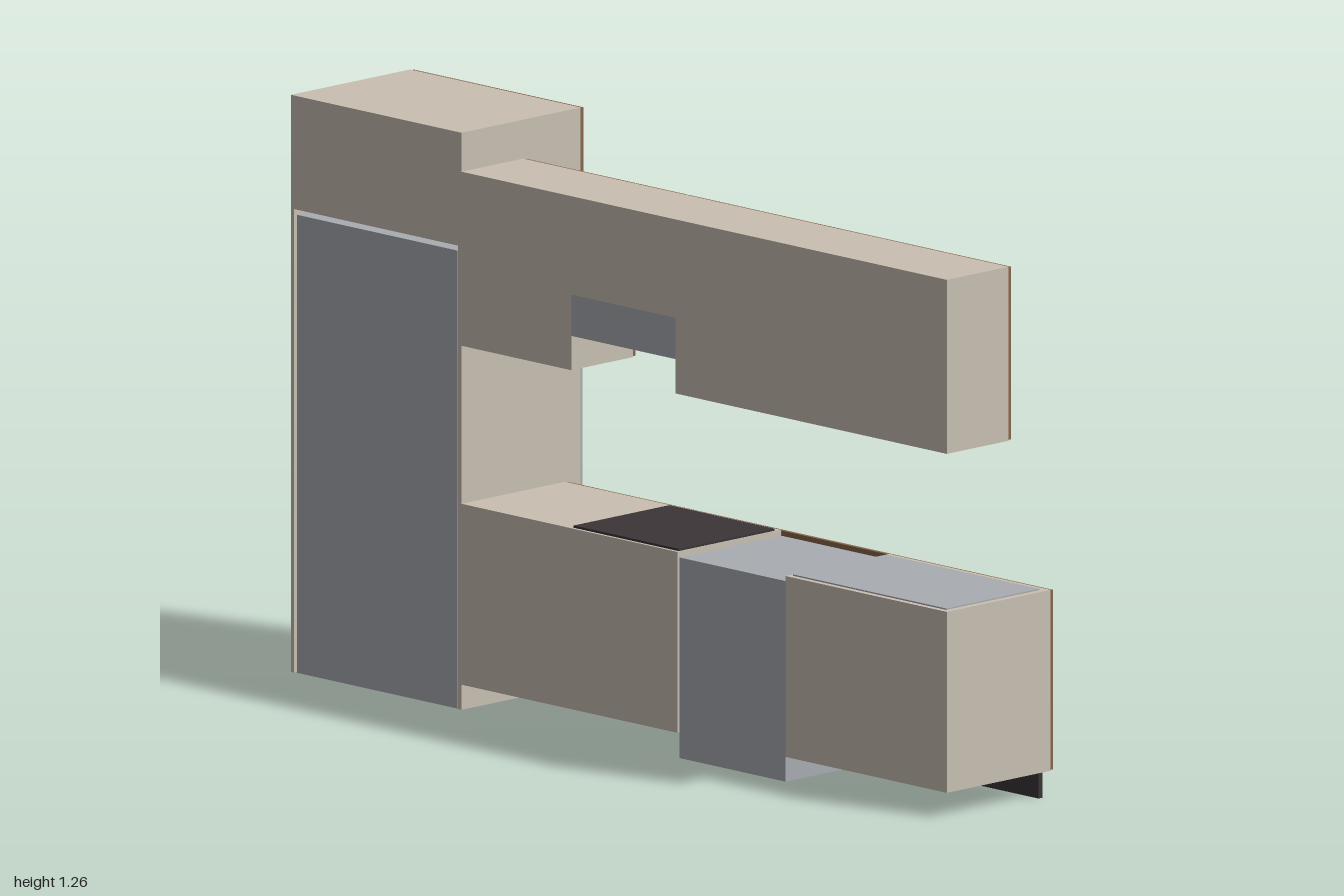
import * as THREE from 'three';

export function createModel() {
  const kitchen = new THREE.Group();
  kitchen.name = 'kitchen';

  const paint = (name, color) => {
    const m = new THREE.MeshStandardMaterial({ color });
    m.name = name;
    return m;
  };
  const beige = paint('beige carcass', 0xc9c0b2);
  const wood = paint('brown wood', 0x876749);
  const steel = paint('steel grey', 0xa9adb3);
  const dark = paint('dark plinth and hob', 0x3b3537);

  // Box given by its minimum and maximum on each axis
  const block = (name, mat, x0, x1, y0, y1, z0, z1) => {
    const mesh = new THREE.Mesh(new THREE.BoxGeometry(x1 - x0, y1 - y0, z1 - z0), mat);
    mesh.position.set((x0 + x1) / 2, (y0 + y1) / 2, (z0 + z1) / 2);
    mesh.name = name;
    kitchen.add(mesh);
  };

  // Wooden front with a narrow gap all round; z is its outer face
  const gap = 0.0015;
  const front = (name, x0, x1, y0, y1, z) =>
    block(name, wood, x0 + gap, x1 - gap, y0 + gap, y1 - gap, z, z + 0.009);

  const BACK = 0.19;

  // Tall fridge housing: side panels, top cupboard and its doors
  block('tallPanelRight', beige, -1, -0.99, 0, 1.012, -0.165, BACK);
  block('tallPanelLeft', beige, -0.49, -0.48, 0, 1.012, -0.165, BACK);
  block('tallCupboard', beige, -1, -0.48, 1.012, 1.26, -0.165, BACK);
  front('tallDoor', -1, -0.74, 1.012, 1.26, -0.175);
  front('tallDoor', -0.74, -0.48, 1.012, 1.26, -0.175);

  // Fridge
  block('fridgeBody', steel, -0.985, -0.495, 0, 1, -0.165, 0.187);
  block('fridgeDoor', steel, -0.98, -0.5, 0, 0.998, -0.19, -0.165);

  // Wall cupboards, raised over the cooker hood
  const wall = [
    ['wallCupboard', -0.48, -0.145, 0.795],
    ['hoodCupboard', -0.145, 0.172, 0.96],
    ['wallCupboard', 0.172, 0.61, 0.795],
    ['wallCupboard', 0.61, 1, 0.795],
  ];
  for (const [name, x0, x1, y0] of wall) {
    block(name, beige, x0, x1, y0, 1.175, 0.006, BACK);
    const mid = (x0 + x1) / 2;
    front(name + 'Door', x0, mid, y0, 1.175, -0.003);
    front(name + 'Door', mid, x1, y0, 1.175, -0.003);
  }
  block('cookerHood', steel, -0.145, 0.172, 0.87, 0.96, 0.006, BACK);

  // Base cupboards on either side of the dishwasher
  const BASE = 0.055, TOP = 0.45, FACE = -0.128;
  for (const [x0, x1] of [[-0.48, -0.145], [-0.145, 0.178], [0.508, 1]]) {
    block('baseCupboard', beige, x0, x1, BASE, TOP, -0.119, BACK);
  }

  // Drawer fronts, listed by their edges from bottom to top
  const drawers = (x0, x1, edges) => {
    for (let i = 0; i + 1 < edges.length; i++) {
      front('drawerFront', x0, x1, edges[i], edges[i + 1], FACE);
    }
  };
  drawers(-0.48, -0.145, [BASE, 0.187, 0.319, TOP]);
  drawers(-0.145, 0.178, [BASE, 0.2525, TOP]);
  front('dishwasherDoor', 0.178, 0.508, BASE, TOP, FACE);
  front('sinkDoor', 0.508, 0.754, BASE, TOP, FACE);
  front('sinkDoor', 0.754, 1, BASE, TOP, FACE);

  // Dishwasher and plinth
  block('dishwasher', steel, 0.182, 0.505, 0, 0.438, -0.117, 0.187);
  block('plinth', dark, -0.48, 0.181, 0, BASE, -0.095, -0.083);
  block('plinth', dark, 0.506, 1, 0, BASE, -0.095, -0.083);

  // Hob and sink plates
  block('hob', dark, -0.145, 0.175, TOP, 0.455, -0.102, 0.183);
  block('sink', steel, 0.518, 0.985, TOP, 0.453, -0.1, 0.177);

  return kitchen;
}
